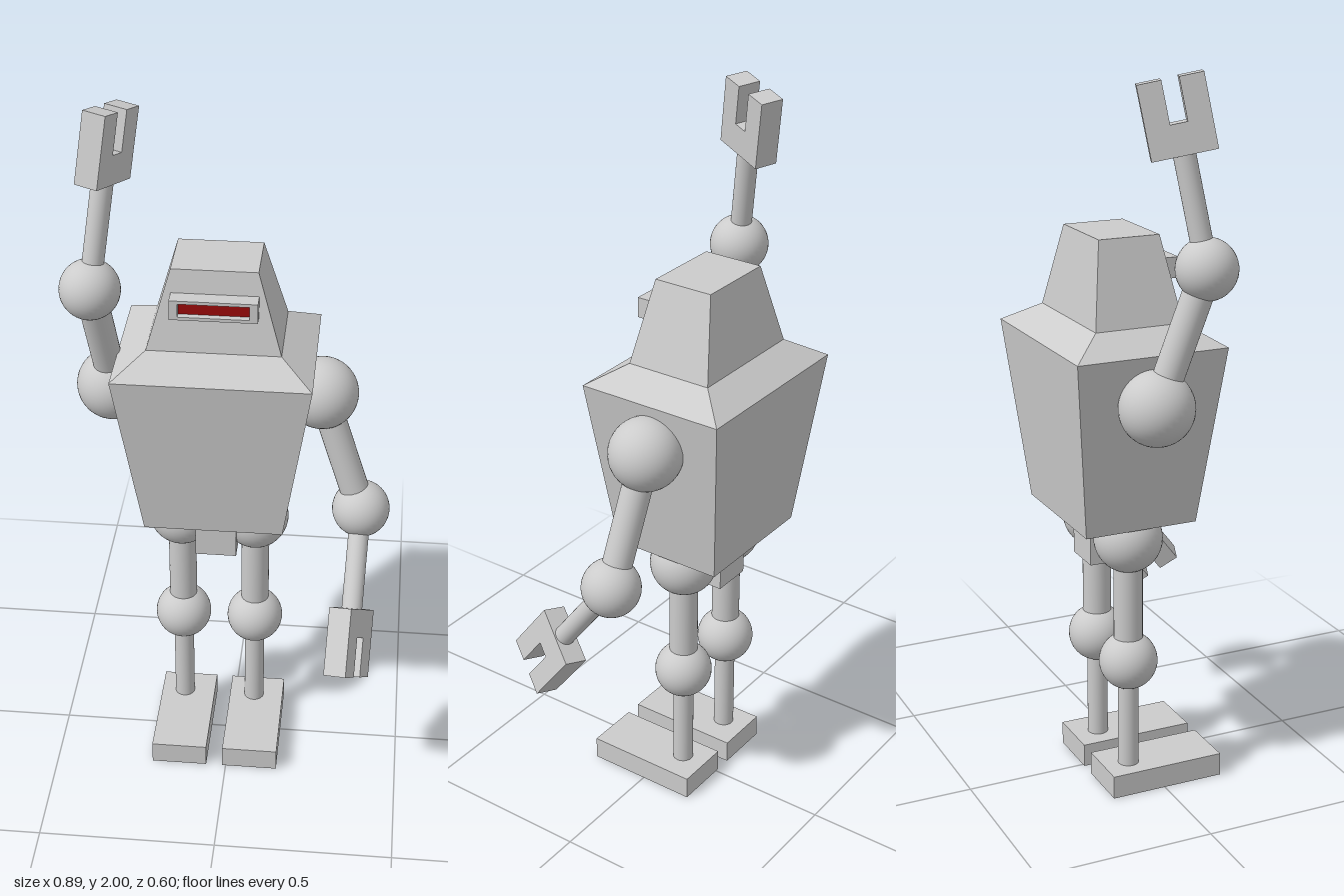
import * as THREE from 'three';

const grey = new THREE.MeshStandardMaterial({ color: 0xcccccc });
const red = new THREE.MeshStandardMaterial({ color: 0x990a0a });
const V = (x, y, z) => new THREE.Vector3(x, y, z);
const CX = -0.043, CZ = -0.081; // body axis

function add(parent, name, geometry, material = grey) {
  const mesh = new THREE.Mesh(geometry, material);
  mesh.name = name;
  parent.add(mesh);
  return mesh;
}

function box(parent, name, size, pos, material) {
  add(parent, name, new THREE.BoxGeometry(...size), material).position.set(...pos);
}

function ball(parent, name, pos, r) {
  add(parent, name, new THREE.SphereGeometry(r, 36, 24)).position.copy(pos);
}

// Straight round limb between two points
function rod(parent, name, a, b, r) {
  const dir = b.clone().sub(a);
  const mesh = add(parent, name, new THREE.CylinderGeometry(r, r, dir.length(), 28));
  mesh.position.copy(a).lerp(b, 0.5);
  mesh.quaternion.setFromUnitVectors(V(0, 1, 0), dir.normalize());
}

// Tapered block: a box whose bottom and top rectangles differ
function taper(parent, name, y0, w0, d0, y1, w1, d1) {
  const g = new THREE.BoxGeometry(1, 1, 1);
  const p = g.attributes.position;
  for (let i = 0; i < p.count; i++) {
    const top = p.getY(i) > 0;
    p.setXYZ(i, CX + p.getX(i) * (top ? w1 : w0), top ? y1 : y0, CZ + p.getZ(i) * (top ? d1 : d0));
  }
  g.computeVertexNormals();
  add(parent, name, g);
}

// Two-pronged gripper: starts at base, points along dir, spreads along wide
function gripper(parent, name, base, dir, wide) {
  const w = 0.084, l = 0.19, s = 0.022, d = 0.08, t = 0.066;
  const shape = new THREE.Shape([
    [-w, 0], [w, 0], [w, l], [s, l], [s, d], [-s, d], [-s, l], [-w, l],
  ].map(([x, y]) => new THREE.Vector2(x, y)));
  const g = new THREE.ExtrudeGeometry(shape, { depth: t, bevelEnabled: false });
  g.translate(0, 0, -t / 2);
  const mesh = add(parent, name, g);
  const y = dir.clone().normalize();
  const x = wide.clone().addScaledVector(y, -wide.dot(y)).normalize();
  mesh.quaternion.setFromRotationMatrix(new THREE.Matrix4().makeBasis(x, y, x.clone().cross(y)));
  mesh.position.copy(base);
}

function arm(parent, side, shoulder, elbow, wrist, wide) {
  const g = new THREE.Group();
  g.name = side + 'Arm';
  ball(g, 'shoulder', shoulder, 0.1);
  rod(g, 'upperArm', shoulder, elbow, 0.041);
  ball(g, 'elbow', elbow, 0.081);
  rod(g, 'forearm', elbow, wrist, 0.029);
  gripper(g, 'gripper', wrist, wrist.clone().sub(elbow), wide);
  parent.add(g);
}

export function createModel() {
  const robot = new THREE.Group();
  robot.name = 'robot';

  // Body and head
  taper(robot, 'torso', 0.79, 0.385, 0.32, 1.285, 0.535, 0.425);
  taper(robot, 'shoulderSlope', 1.285, 0.535, 0.425, 1.34, 0.36, 0.248);
  taper(robot, 'head', 1.34, 0.36, 0.248, 1.565, 0.23, 0.172);
  box(robot, 'pelvis', [0.116, 0.16, 0.18], [CX, 0.735, CZ]);

  // Visor: open frame with a recessed red pane
  const rect = (Type, w, h) => new Type([[-w, -h], [w, -h], [w, h], [-w, h]]
    .map(([x, y]) => new THREE.Vector2(x, y)));
  const frame = rect(THREE.Shape, 0.116, 0.028);
  frame.holes.push(rect(THREE.Path, 0.094, 0.019));
  add(robot, 'visorFrame', new THREE.ExtrudeGeometry(frame, { depth: 0.05, bevelEnabled: false }))
    .position.set(-0.041, 1.473, 0.01);
  box(robot, 'visorPane', [0.19, 0.04, 0.03], [-0.041, 1.473, 0.027], red);

  // Legs
  for (const [name, s] of [['rightLeg', -1], ['leftLeg', 1]]) {
    const leg = new THREE.Group();
    leg.name = name;
    const x = CX + s * 0.106;
    const hip = V(x, 0.738, CZ), knee = V(x, 0.378, CZ);
    ball(leg, 'hip', hip, 0.094);
    rod(leg, 'thigh', hip, knee, 0.04);
    ball(leg, 'knee', knee, 0.081);
    rod(leg, 'shin', knee, V(x, 0.05, CZ), 0.029);
    box(leg, 'foot', [0.16, 0.066, 0.33], [-0.034 + s * 0.104, 0.033, 0.009]);
    robot.add(leg);
  }

  // Arms: one raised, one hanging forward
  arm(robot, 'right', V(-0.334, 1.155, -0.085), V(-0.365, 1.512, 0.037),
    V(-0.328, 1.797, -0.01), V(-0.37, 0.2, 0.92));
  arm(robot, 'left', V(0.242, 1.158, -0.085), V(0.362, 0.8, -0.057),
    V(0.352, 0.574, 0.115), V(0.37, -0.48, -0.79));

  return robot;
}
